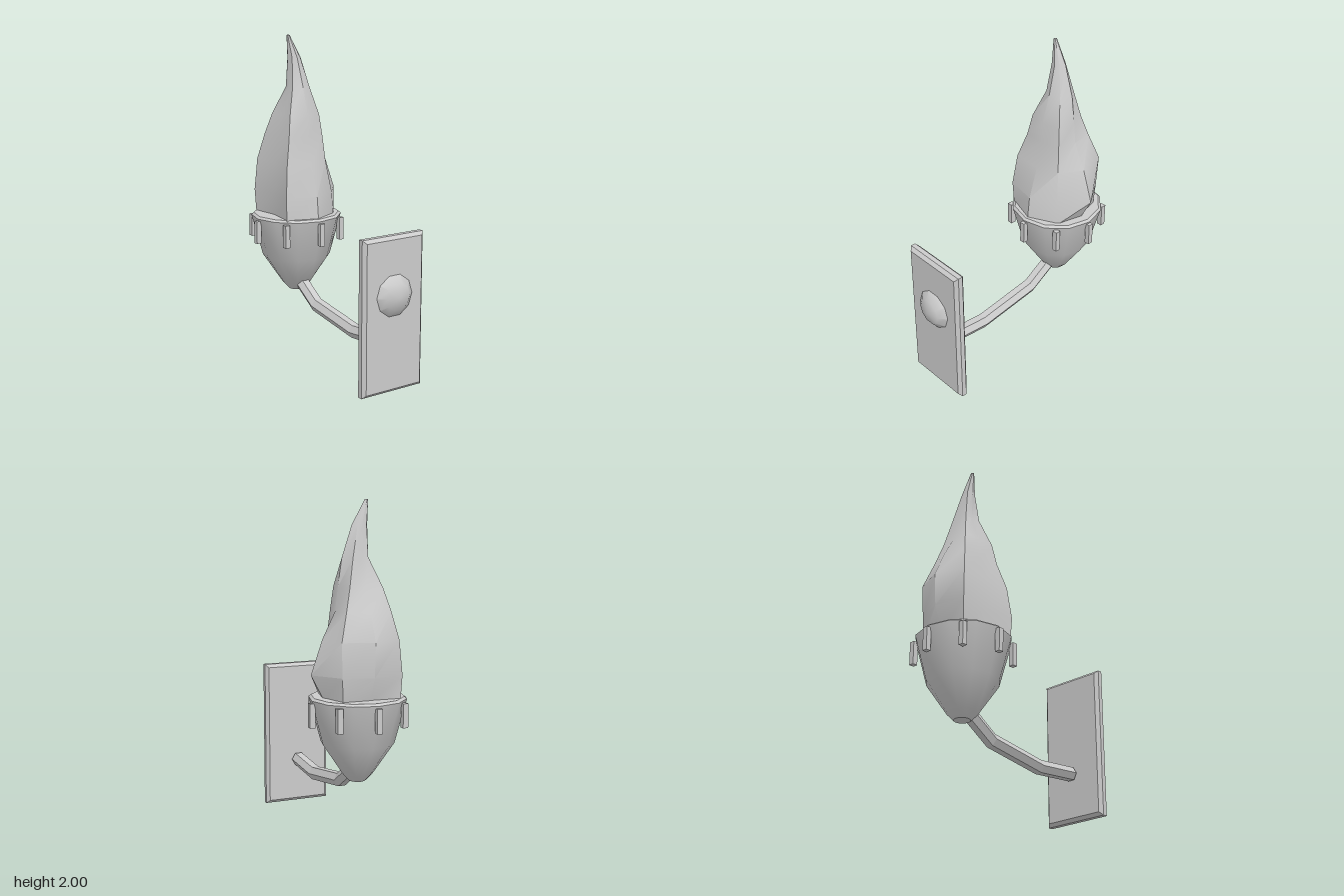
import * as THREE from 'three';
import { toCreasedNormals } from 'three/addons/utils/BufferGeometryUtils.js';

const CUP_Z = -0.39;
const CREASE = 0.62;

// Skin a list of equal-length rings (counter-clockwise around the travel direction) and cap both ends.
function loft(rings) {
  const n = rings[0].length;
  const points = rings.flat();
  const index = [];
  for (let r = 0; r < rings.length - 1; r++) {
    for (let i = 0; i < n; i++) {
      const a = r * n + i, b = r * n + (i + 1) % n;
      index.push(a, b, b + n, a, b + n, a + n);
    }
  }
  const last = (rings.length - 1) * n;
  for (let i = 1; i < n - 1; i++) {
    index.push(0, i + 1, i, last, last + i, last + i + 1);
  }
  const geometry = new THREE.BufferGeometry().setFromPoints(points);
  geometry.setIndex(index);
  return geometry;
}

function lathe(profile, sides, start = 0) {
  const points = profile.map(([r, y]) => new THREE.Vector2(r, y));
  return toCreasedNormals(new THREE.LatheGeometry(points, sides, start), CREASE);
}

// Bevelled wall plate
function plateGeometry() {
  const w = 0.195, h = 0.445;
  const shape = new THREE.Shape([
    new THREE.Vector2(-w, -h), new THREE.Vector2(w, -h),
    new THREE.Vector2(w, h), new THREE.Vector2(-w, h),
  ]);
  return new THREE.ExtrudeGeometry(shape, {
    depth: 0.03, bevelEnabled: true, bevelThickness: 0.02, bevelSize: 0.02, bevelSegments: 1,
  });
}

// Hexagonal arm following a bent path in the yz plane
function armGeometry() {
  const path = [[0.29, 0.545], [0.265, 0.25], [0.325, -0.155], [0.45, -0.35]]
    .map(([y, z]) => new THREE.Vector3(0, y, z));
  const side = new THREE.Vector3(1, 0, 0);
  const rings = path.map((p, k) => {
    const before = path[Math.max(k - 1, 0)], after = path[Math.min(k + 1, path.length - 1)];
    const across = after.clone().sub(before).normalize().cross(side);
    return Array.from({ length: 6 }, (_, i) => {
      const a = i * Math.PI / 3;
      return p.clone().addScaledVector(side, 0.045 * Math.cos(a)).addScaledVector(across, 0.045 * Math.sin(a));
    });
  });
  return loft(rings);
}

// Flame: eight-sided rings of uneven radii (from +x, turning towards -z)
function flameGeometry() {
  const levels = [
    { y: 0.87, x: 0, r: [0.21, 0.23, 0.17, 0.26, 0.16, 0.27, 0.255, 0.24] },
    { y: 1.02, x: 0, r: [0.29, 0.24, 0.23, 0.27, 0.17, 0.28, 0.24, 0.23] },
    { y: 1.22, x: 0, r: [0.22, 0.25, 0.24, 0.25, 0.16, 0.25, 0.18, 0.19] },
    { y: 1.38, x: 0, r: [0.14, 0.18, 0.17, 0.20, 0.13, 0.19, 0.14, 0.17] },
    { y: 1.51, x: 0, r: [0.125, 0.13, 0.10, 0.15, 0.11, 0.16, 0.14, 0.15] },
    { y: 1.68, x: 0, r: [0.10, 0.08, 0.05, 0.06, 0.05, 0.08, 0.09, 0.09] },
    { y: 1.86, x: -0.01, r: [0.05, 0.035, 0.03, 0.04, 0.045, 0.045, 0.04, 0.04] },
    { y: 2, x: -0.05, r: [0.01, 0.01, 0.01, 0.01, 0.01, 0.01, 0.01, 0.01] },
  ];
  const rings = levels.map(({ y, x, r }) => r.map((radius, i) => {
    const a = i * Math.PI / 4;
    return new THREE.Vector3(x + radius * Math.cos(a), y, CUP_Z - radius * Math.sin(a));
  }));
  return toCreasedNormals(loft(rings), CREASE);
}

export function createModel() {
  const group = new THREE.Group();
  const smooth = new THREE.MeshStandardMaterial({ color: 0xcccccc });
  const flat = new THREE.MeshStandardMaterial({ color: 0xcccccc, flatShading: true });
  const add = (name, geometry, material, x = 0, y = 0, z = 0) => {
    const mesh = new THREE.Mesh(geometry, material);
    mesh.name = name;
    mesh.position.set(x, y, z);
    group.add(mesh);
    return mesh;
  };

  add('wallPlate', plateGeometry(), flat, 0, 0.465, 0.58);

  // Domed boss on the plate front
  const boss = lathe([[0.13, 0], [0.125, 0.01], [0.08, 0.047], [0, 0.064]], 10, Math.PI / 2);
  add('boss', boss, smooth, 0, 0.583, 0.622).rotation.x = Math.PI / 2;

  add('arm', armGeometry(), flat);

  // Cup with closed top
  const cup = lathe([[0, 0.383], [0.05, 0.383], [0.09, 0.425], [0.215, 0.61],
    [0.285, 0.872], [0.27, 0.885], [0, 0.885]], 12);
  add('cup', cup, smooth, 0, 0, CUP_Z);

  // Eight square studs around the rim
  const stud = new THREE.BoxGeometry(0.032, 0.142, 0.032);
  for (let i = 0; i < 8; i++) {
    const a = i * Math.PI / 4;
    add('stud', stud, flat, 0.285 * Math.cos(a), 0.788, CUP_Z + 0.285 * Math.sin(a));
  }

  add('flame', flameGeometry(), smooth);
  return group;
}
